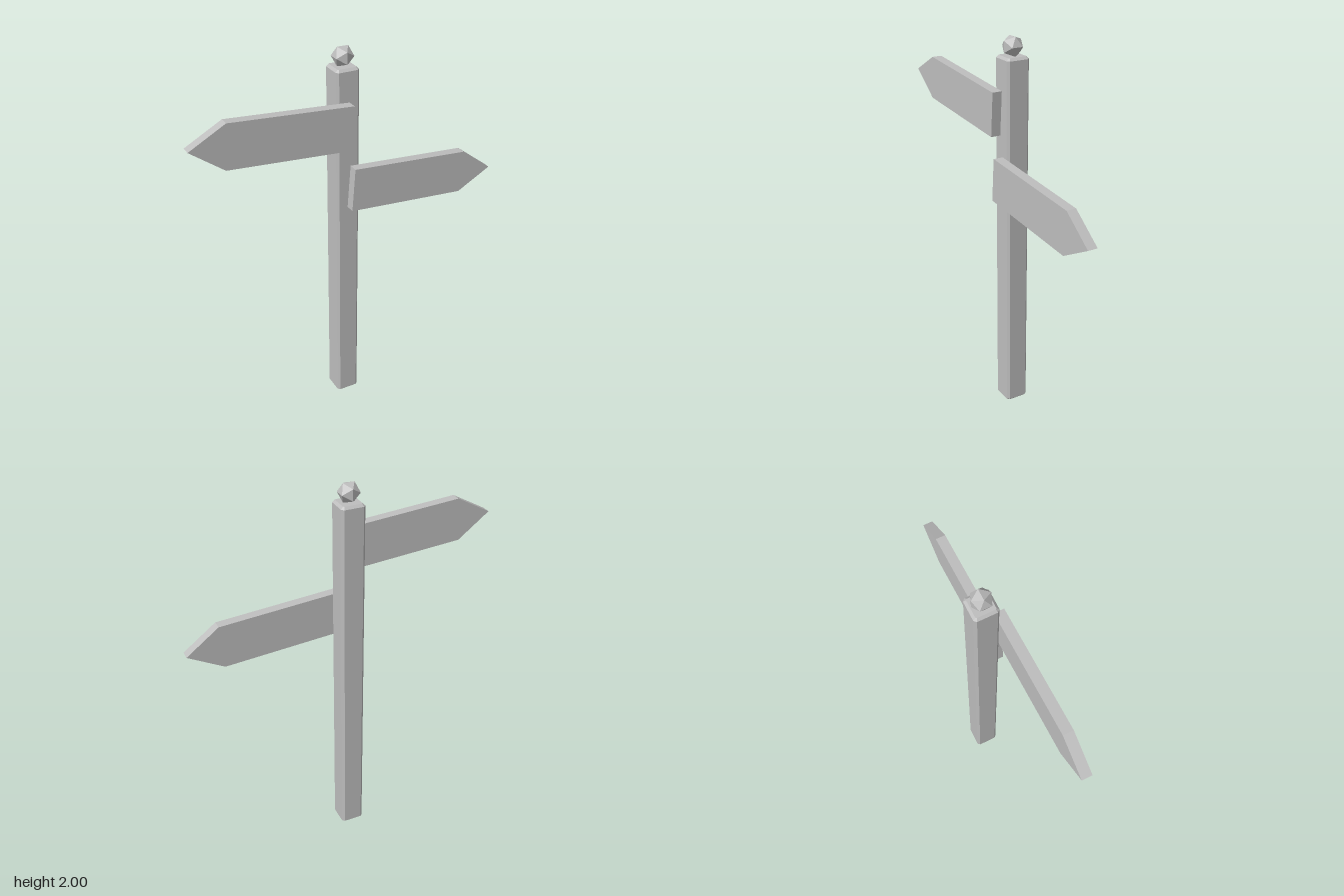
import * as THREE from 'three';

const BEVEL = 0.012;
const POST_Z = -0.025;

// Flat-sided extrusion of a list of [x, y] corners
function extrude(points, options) {
  const shape = new THREE.Shape(points.map(([x, y]) => new THREE.Vector2(x, y)));
  return new THREE.ExtrudeGeometry(shape, { steps: 1, ...options });
}

export function createModel() {
  const group = new THREE.Group();
  const grey = new THREE.MeshStandardMaterial({ color: 0xbebebe });
  grey.flatShading = true;

  function add(name, geometry) {
    const mesh = new THREE.Mesh(geometry, grey);
    mesh.name = name;
    group.add(mesh);
    return mesh;
  }

  // Square post: chamfered corners plus chamfered top and bottom
  const h = 0.061, c = h - BEVEL;
  const section = [[c, -h], [h, -c], [h, c], [c, h], [-c, h], [-h, c], [-h, -c], [-c, -h]];
  const post = extrude(section, {
    depth: 1.908 - 2 * BEVEL, bevelEnabled: true, bevelSegments: 1,
    bevelSize: BEVEL, bevelThickness: BEVEL, bevelOffset: -BEVEL,
  });
  post.rotateX(-Math.PI / 2).translate(0, BEVEL, POST_Z);
  add('post', post);

  // Faceted finial resting on the post
  const finial = add('finial', new THREE.IcosahedronGeometry(0.055, 0));
  finial.position.set(0, 1.953, POST_Z);

  // Two arrow boards, the lower one turned half round
  const outline = [[0, -0.1128], [0.633, -0.1128], [0.809, 0], [0.633, 0.1128], [0, 0.1128]];
  const board = extrude(outline, { depth: 0.051, bevelEnabled: false });
  const tilt = -0.071;
  const upper = add('upperArrowBoard', board);
  upper.position.set(-0.003, 1.6315, 0.037);
  upper.rotation.z = Math.PI + tilt;
  const lower = add('lowerArrowBoard', board);
  lower.position.set(0.003, 1.3005, 0.037);
  lower.rotation.z = tilt;

  return group;
}
